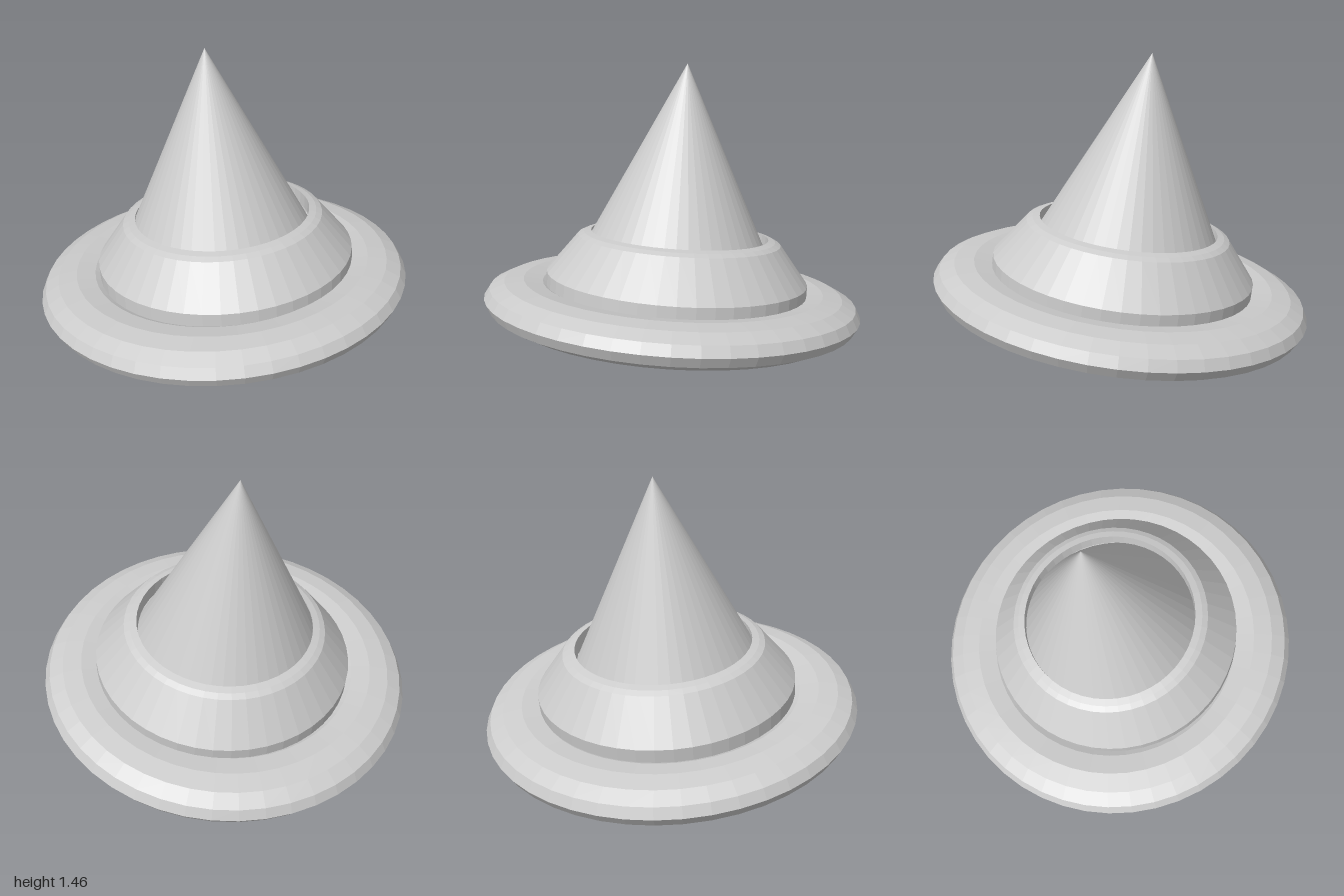
import * as THREE from 'three';

const material = new THREE.MeshStandardMaterial({ color: 0xcccccc, flatShading: true, side: THREE.DoubleSide });

function part(name, geometry) {
  const mesh = new THREE.Mesh(geometry, material);
  mesh.name = name;
  return mesh;
}

export function createModel() {
  const model = new THREE.Group();
  model.name = 'pointedHat';

  // Everything shares one sideways tilt about the brim centre
  const hat = new THREE.Group();
  hat.name = 'tiltedHat';
  hat.position.y = 0.198;
  hat.rotation.z = THREE.MathUtils.degToRad(7.1);
  model.add(hat);

  // Brim: flattened ring
  const brim = new THREE.TorusGeometry(0.8, 0.2, 12, 48);
  brim.rotateX(Math.PI / 2);
  brim.scale(1, 0.5, 1);
  hat.add(part('brim', brim));

  // Crown band: bevelled collar, open at the top around the cone, closed below
  const profile = [
    [0, 0.05], [0.695, 0.05], [0.695, 0.145], [0.54, 0.345],
    [0.51, 0.36], [0.473, 0.369], [0.467, 0.3],
  ].map(([r, y]) => new THREE.Vector2(r, y));
  const band = part('crownBand', new THREE.LatheGeometry(profile, 48));
  band.position.set(0.006, 0, -0.022);
  hat.add(band);

  // Pointed crown, its base sunk into the band
  const base = 0.06, tip = 1.268;
  const cone = new THREE.ConeGeometry(0.6, tip - base, 48);
  cone.translate(0, (base + tip) / 2, 0);
  hat.add(part('pointedCrown', cone));

  return model;
}
